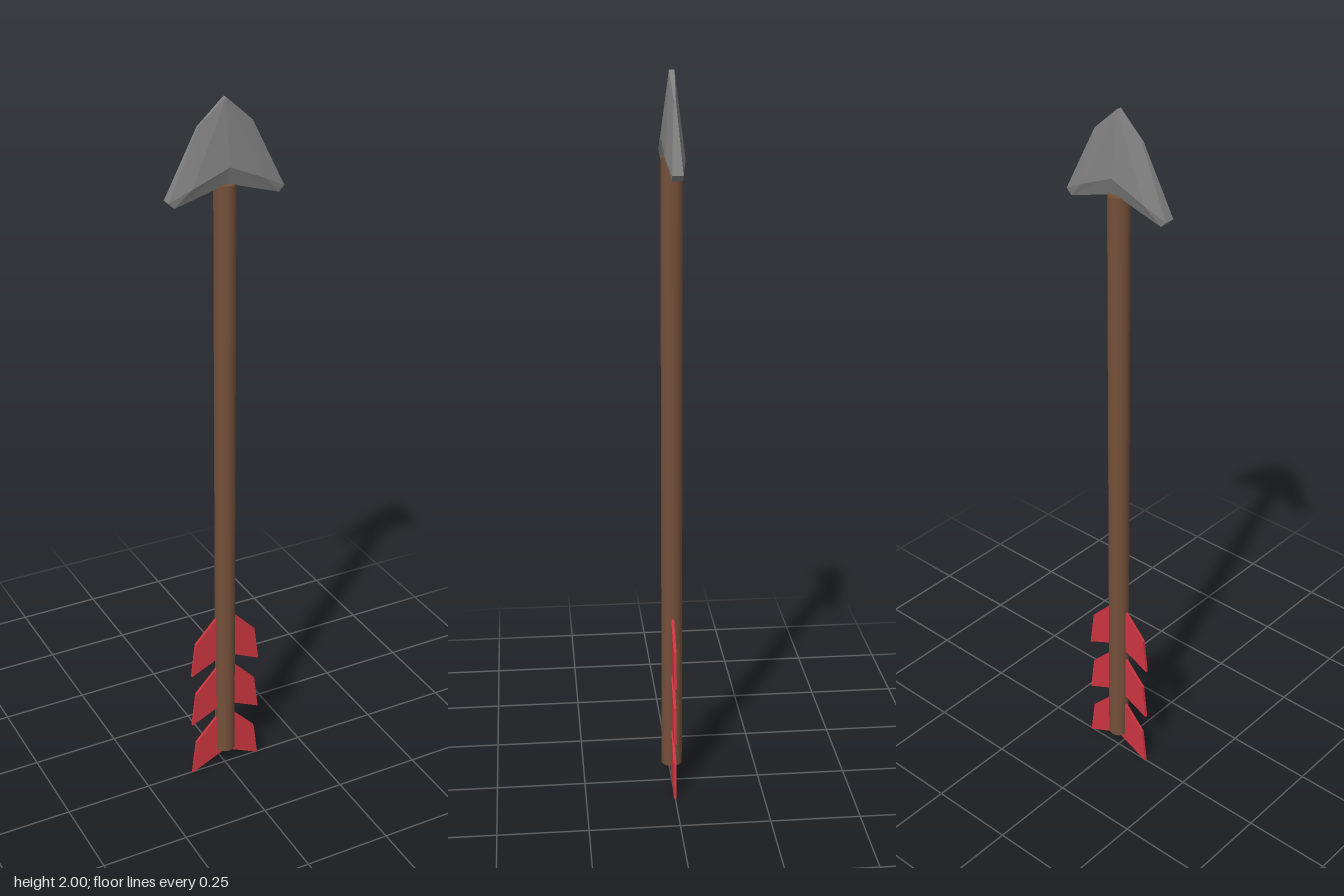
import * as THREE from 'three';

const wood = new THREE.MeshStandardMaterial({ color: 0x74503a });
const red = new THREE.MeshStandardMaterial({ color: 0xcc3540 });
const steel = new THREE.MeshStandardMaterial({ color: 0x808080, flatShading: true });

// One quarter of the head (x > 0, z > 0), mirrored into all four
function headGeometry() {
  const tip = [0, 2, 0.007], shoulder = [0.075, 1.935, 0.003];
  const wing = [0.16, 1.76, 0.014], barb = [0.145, 1.745, 0.014];
  const notch = [0, 1.787, 0.014], ridge = [0, 1.832, 0.028], knee = [0.1, 1.79, 0.025];
  const tris = [
    [tip, ridge, knee], [tip, knee, shoulder], [shoulder, knee, wing],
    [knee, barb, wing], [ridge, notch, barb], [ridge, barb, knee],
  ];
  // Rim from the outline in to the middle plane
  const rim = [tip, shoulder, wing, barb, notch];
  const mid = (p) => [p[0], p[1], 0];
  for (let i = 0; i < rim.length - 1; i++) {
    const a = rim[i], b = rim[i + 1];
    tris.push([a, b, mid(b)], [a, mid(b), mid(a)]);
  }
  const positions = [];
  for (const sx of [1, -1]) {
    for (const sz of [1, -1]) {
      for (const [a, b, c] of tris) {
        const order = sx * sz > 0 ? [a, b, c] : [a, c, b];
        for (const p of order) positions.push(p[0] * sx, p[1], p[2] * sz);
      }
    }
  }
  const geometry = new THREE.BufferGeometry();
  geometry.setAttribute('position', new THREE.Float32BufferAttribute(positions, 3));
  geometry.computeVertexNormals();
  return geometry;
}

// A pair of swept vanes cut from one thin sheet
function featherGeometry() {
  const half = [[0, 0.55], [0.03, 0.518], [0.094, 0.45], [0.107, 0.345]];
  const left = half.slice(1).reverse().map(([x, y]) => [-x, y]);
  const outline = [...half, [0, 0.395], ...left].map(([x, y]) => new THREE.Vector2(x, y - 0.345));
  const depth = 0.008;
  const geometry = new THREE.ExtrudeGeometry(new THREE.Shape(outline), { depth, bevelEnabled: false });
  return geometry.translate(0, 0, -depth / 2);
}

export function createModel() {
  const arrow = new THREE.Group();
  arrow.name = 'arrow';

  const bottom = 0.06, top = 1.785;
  const shaft = new THREE.Mesh(new THREE.CylinderGeometry(0.029, 0.029, top - bottom, 20), wood);
  shaft.name = 'shaft';
  shaft.position.y = (top + bottom) / 2;
  arrow.add(shaft);

  const head = new THREE.Mesh(headGeometry(), steel);
  head.name = 'arrowhead';
  arrow.add(head);

  // Three rows of fletching
  const feather = featherGeometry();
  const fletching = new THREE.Group();
  fletching.name = 'fletching';
  for (let i = 0; i < 3; i++) {
    const vane = new THREE.Mesh(feather, red);
    vane.name = `featherPair${i + 1}`;
    vane.position.y = i * 0.171;
    fletching.add(vane);
  }
  arrow.add(fletching);
  return arrow;
}
